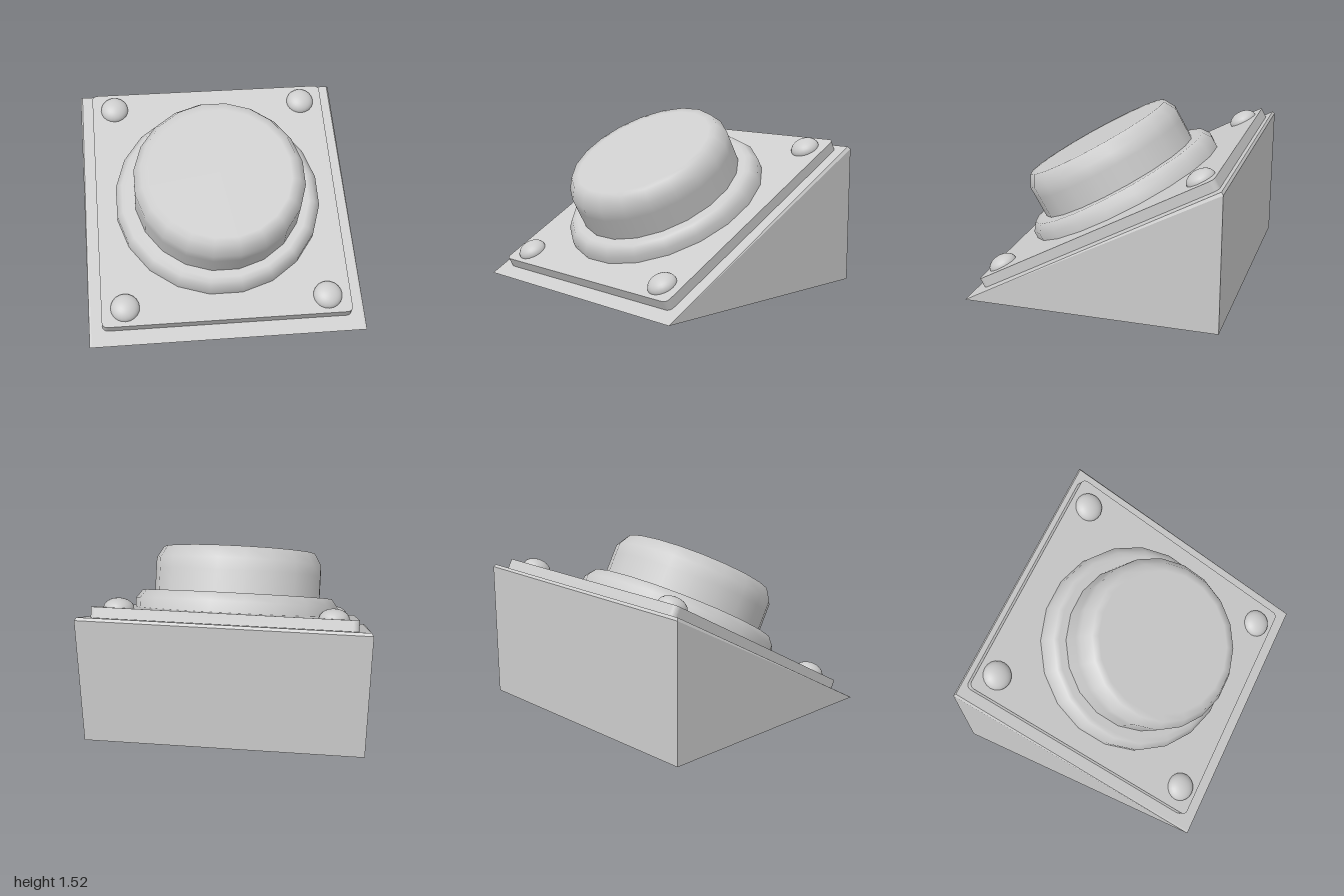
import * as THREE from 'three';
import { ConvexGeometry } from 'three/addons/geometries/ConvexGeometry.js';

const SIDES = 20;
const deg = THREE.MathUtils.degToRad;

export function createModel() {
  const model = new THREE.Group();
  const material = new THREE.MeshStandardMaterial({ color: 0xcccccc });

  const add = (parent, name, geometry) => {
    const mesh = new THREE.Mesh(geometry, material);
    mesh.name = name;
    parent.add(mesh);
    return mesh;
  };
  // Faceted turned part; a repeated profile point keeps that edge sharp
  const turned = (profile) => new THREE.LatheGeometry(
    profile.map(([r, y]) => new THREE.Vector2(r, y)), SIDES, Math.PI / SIDES);

  // Wedge base with a thin chamfer around its sloping top
  const slopeY = (z) => 0.76 - 0.548 * z;
  const corners = [];
  for (const x of [-1, 1]) {
    corners.push(
      new THREE.Vector3(x, 0.25, 0.925),
      new THREE.Vector3(x, 0.25, -0.925),
      new THREE.Vector3(x, slopeY(-0.925) - 0.025, -0.925),
      new THREE.Vector3(x * 0.985, slopeY(0.92), 0.92),
      new THREE.Vector3(x * 0.985, slopeY(-0.91), -0.91));
  }
  add(model, 'wedgeBase', new ConvexGeometry(corners));

  // Face plate and screws lie on the slope
  const face = new THREE.Group();
  face.name = 'faceAssembly';
  face.position.y = 0.76;
  face.rotation.x = deg(28.8);
  model.add(face);

  const w = 0.905, h = 0.97, r = 0.04;
  const outline = new THREE.Shape();
  outline.absarc(w - r, h - r, r, 0, Math.PI / 2);
  outline.absarc(-w + r, h - r, r, Math.PI / 2, Math.PI);
  outline.absarc(-w + r, -h + r, r, Math.PI, Math.PI * 1.5);
  outline.absarc(w - r, -h + r, r, Math.PI * 1.5, Math.PI * 2);
  const plateGeometry = new THREE.ExtrudeGeometry(outline,
    { depth: 0.075, bevelEnabled: false, curveSegments: 4 });
  plateGeometry.rotateX(-Math.PI / 2);
  add(face, 'facePlate', plateGeometry).position.z = -0.03;

  // Domed screw heads
  const dome = new THREE.SphereGeometry(0.105, 20, 8, 0, Math.PI * 2, 0, Math.PI / 2);
  for (const x of [-0.735, 0.735]) {
    for (const z of [-0.86, 0.8]) {
      const screw = add(face, 'screwHead', dome);
      screw.position.set(x, 0.075, z);
      screw.scale.y = 0.66;
    }
  }

  // Push button passing through the wedge, with its collar
  const button = new THREE.Group();
  button.name = 'buttonAssembly';
  button.position.set(0, 0.309, -0.285);
  button.rotation.x = deg(30);
  model.add(button);

  add(button, 'pushButton', turned([
    [0, 0], [0.626, 0], [0.626, 0], [0.626, 0.9], [0.626, 0.983],
    [0.574, 1.07], [0.52, 1.07], [0, 1.07]]));

  add(button, 'collar', turned([
    [0.6, 0.58], [0.765, 0.58], [0.765, 0.58], [0.765, 0.675],
    [0.72, 0.735], [0.68, 0.735], [0.6, 0.735]]));

  return model;
}
